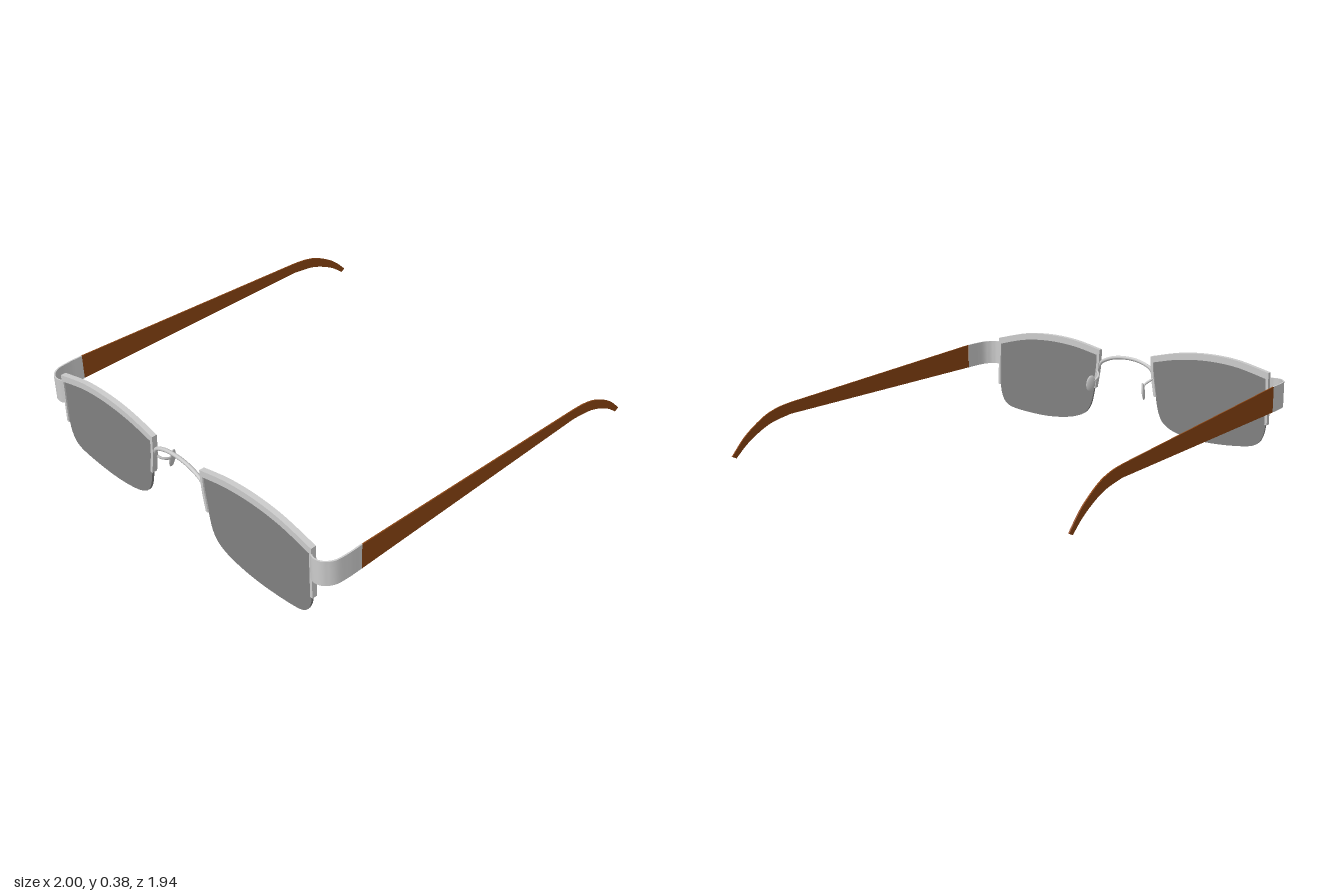
import * as THREE from 'three';
import { toCreasedNormals } from 'three/addons/utils/BufferGeometryUtils.js';

const metal = new THREE.MeshStandardMaterial({ color: 0xcccccc, side: THREE.DoubleSide });
const tint = new THREE.MeshStandardMaterial({ color: 0x808080, side: THREE.DoubleSide });
const wood = new THREE.MeshStandardMaterial({ color: 0x8b4513, side: THREE.DoubleSide });

const LENS_Z = 0.806;
const v2 = (pts) => pts.map(([x, y]) => new THREE.Vector2(x, y));
const v3 = (pts) => pts.map((p) => new THREE.Vector3(...p));

function mesh(name, geometry, material) {
  const m = new THREE.Mesh(geometry, material);
  m.name = name;
  return m;
}

function plate(shape, depth) {
  const g = new THREE.ExtrudeGeometry(shape, { depth, bevelEnabled: false, curveSegments: 10 });
  return toCreasedNormals(g, 0.6);
}

function wire(name, pts, radius) {
  const curve = new THREE.CatmullRomCurve3(v3(pts));
  return mesh(name, new THREE.TubeGeometry(curve, 32, radius, 8), metal);
}

// Lens: arched top, straight sides, rounded bottom corners
function lens() {
  const s = new THREE.Shape();
  s.moveTo(0.683, 0.335);
  s.splineThru(v2([[0.542, 0.369], [0.406, 0.379], [0.27, 0.369], [0.138, 0.34]]));
  s.splineThru(v2([[0.143, 0.26], [0.157, 0.18], [0.178, 0.09], [0.217, 0.042], [0.298, 0.014],
    [0.422, 0.002], [0.569, 0.01], [0.645, 0.029], [0.677, 0.078], [0.687, 0.156]]));
  s.lineTo(0.683, 0.335);
  return mesh('lens', plate(s, 0.01).translate(0, 0, LENS_Z - 0.005), tint);
}

// Half rim: brow bar with a thin strip down each side of the lens
function rim() {
  const s = new THREE.Shape();
  s.moveTo(0.693, 0.12);
  s.lineTo(0.69, 0.341);
  s.splineThru(v2([[0.542, 0.376], [0.406, 0.386], [0.27, 0.376], [0.131, 0.346]]));
  s.splineThru(v2([[0.136, 0.26], [0.151, 0.17]]));
  s.lineTo(0.163, 0.17);
  s.splineThru(v2([[0.149, 0.26], [0.145, 0.322]]));
  s.splineThru(v2([[0.27, 0.348], [0.406, 0.358], [0.542, 0.348], [0.679, 0.315]]));
  s.lineTo(0.682, 0.12);
  return mesh('rim', plate(s, 0.022).translate(0, 0, LENS_Z - 0.011), metal);
}

// Flat band that wraps the corner from rim to temple
function endPiece() {
  const curve = new THREE.CatmullRomCurve3(v3([[0.682, -0.812, 0], [0.703, -0.823, 0], [0.735, -0.818, 0],
    [0.763, -0.785, 0], [0.771, -0.735, 0], [0.772, -0.665, 0]]));
  const pts = curve.getSpacedPoints(24);
  const side = (offset) => pts.map((p, i) => {
    const t = curve.getTangentAt(i / 24);
    return new THREE.Vector2(p.x - t.y * offset, p.y + t.x * offset);
  });
  const s = new THREE.Shape([...side(-0.003), ...side(0.003).reverse()]);
  return mesh('endPiece', plate(s, 0.106).rotateX(-Math.PI / 2).translate(0, 0.212, 0), metal);
}

// Thin tapering temple, its tip curling down behind the ear
function temple() {
  const s = new THREE.Shape();
  s.moveTo(-0.667, 0.212);
  s.lineTo(0.492, 0.216);
  s.splineThru(v2([[0.607, 0.197], [0.712, 0.151], [0.785, 0.098]]));
  s.lineTo(0.805, 0.108);
  s.splineThru(v2([[0.733, 0.175], [0.638, 0.23], [0.56, 0.254], [0.48, 0.263]]));
  s.lineTo(-0.667, 0.318);
  return mesh('temple', plate(s, 0.005).rotateY(Math.PI / 2).translate(0.77, 0, 0), wood);
}

// Nose pad on a curved wire arm
function nosePad() {
  const g = new THREE.Group();
  g.name = 'nosePad';
  g.add(wire('padArm', [[0.146, 0.25, 0.8], [0.128, 0.235, 0.785], [0.122, 0.225, 0.765],
    [0.128, 0.212, 0.745], [0.137, 0.205, 0.737]], 0.005));
  const pad = mesh('pad', new THREE.SphereGeometry(1, 20, 12).scale(0.007, 0.038, 0.024), metal);
  pad.position.set(0.135, 0.203, 0.733);
  pad.rotation.set(0, -0.42, 0.12);
  g.add(pad);
  return g;
}

export function createModel() {
  const glasses = new THREE.Group();
  glasses.name = 'glasses';

  for (const [name, sign] of [['left', 1], ['right', -1]]) {
    const half = new THREE.Group();
    half.name = name + 'Half';
    half.add(lens(), rim(), endPiece(), temple(), nosePad());
    half.scale.x = sign;
    glasses.add(half);
  }

  // Arched bridge between the lenses
  glasses.add(wire('bridge', [[-0.14, 0.27, LENS_Z], [-0.125, 0.291, LENS_Z], [-0.07, 0.315, LENS_Z],
    [0, 0.323, LENS_Z], [0.07, 0.315, LENS_Z], [0.125, 0.291, LENS_Z], [0.14, 0.27, LENS_Z]], 0.008));

  // The pair sits turned on the ground
  glasses.rotation.y = THREE.MathUtils.degToRad(-72.7);
  const model = new THREE.Group();
  model.name = 'eyeglasses';
  model.add(glasses);
  return model;
}
